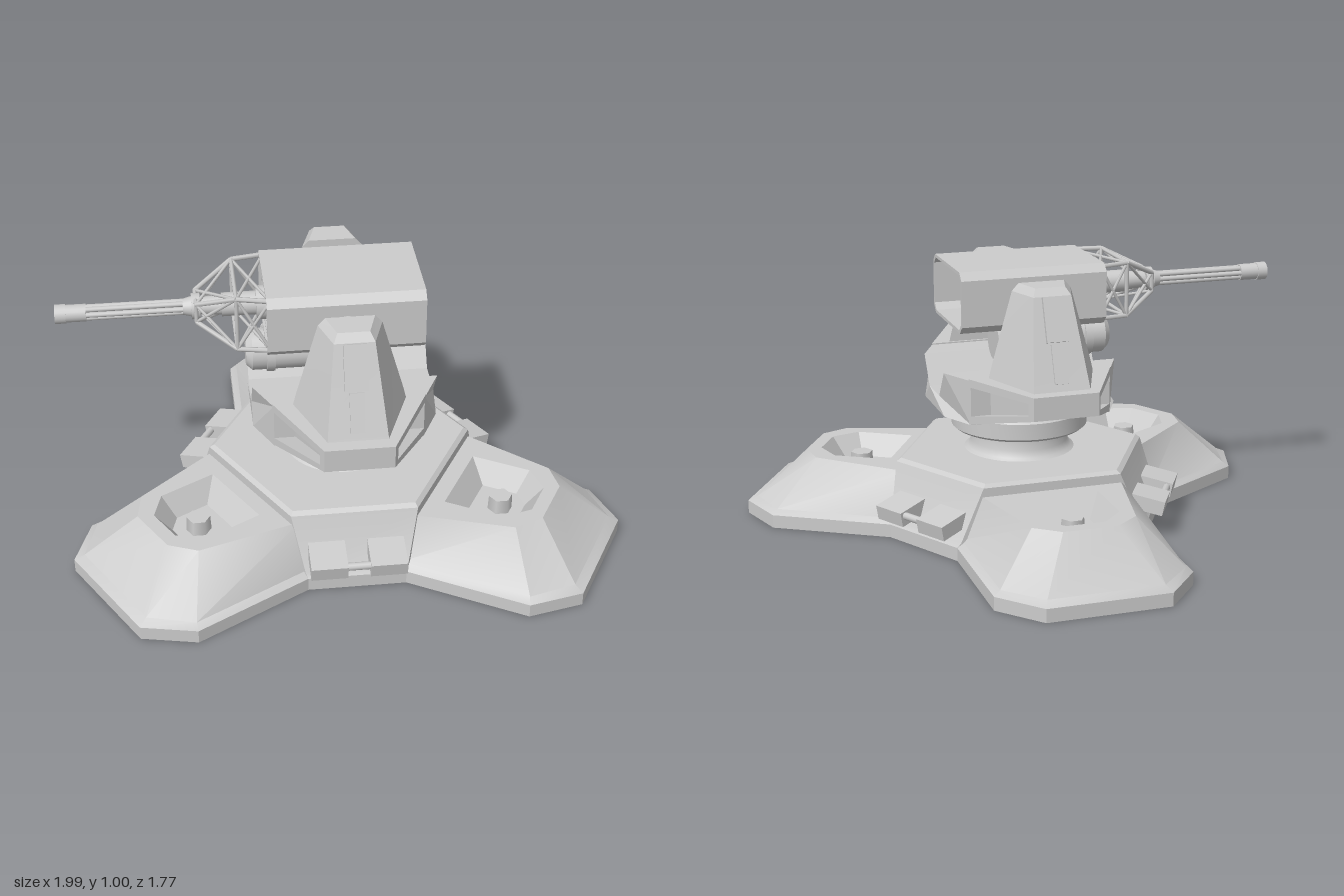
import * as THREE from 'three';
import { toCreasedNormals } from 'three/addons/utils/BufferGeometryUtils.js';

const grey = new THREE.MeshStandardMaterial({ color: 0xcccccc });
const thin = new THREE.MeshStandardMaterial({ color: 0xcccccc, side: THREE.DoubleSide });

function add(parent, name, geo, x = 0, y = 0, z = 0, mat = grey) {
  const m = new THREE.Mesh(geo, mat);
  m.name = name;
  m.position.set(x, y, z);
  parent.add(m);
  return m;
}

// Closed loft through rings {y, p: [[x, -z], ...]} listed counter-clockwise from above
function loft(rings, crease = 0.45) {
  const n = rings[0].p.length, pos = [], idx = [];
  for (const { y, p } of rings) for (const [x, v] of p) pos.push(x, y, -v);
  for (let i = 0; i < rings.length - 1; i++)
    for (let j = 0; j < n; j++) {
      const a = i * n + j, b = i * n + (j + 1) % n;
      idx.push(a, b, b + n, a, b + n, a + n);
    }
  for (const top of [false, true]) {
    const start = top ? (rings.length - 1) * n : 0, c = pos.length / 3;
    const ring = rings[top ? rings.length - 1 : 0];
    pos.push(ring.p.reduce((s, q) => s + q[0] / n, 0), ring.y, -ring.p.reduce((s, q) => s + q[1] / n, 0));
    for (let j = 0; j < n; j++) {
      const a = start + j, b = start + (j + 1) % n;
      idx.push(c, top ? a : b, top ? b : a);
    }
  }
  const g = new THREE.BufferGeometry();
  g.setAttribute('position', new THREE.Float32BufferAttribute(pos, 3));
  g.setIndex(idx);
  return toCreasedNormals(g, crease);
}

// Symmetric ring from its lower half
const mirrored = (half) => [...half, ...half.slice().reverse().map(([r, v]) => [r, -v])];

// Cylinder lying along x between two x positions
function rodX(parent, name, x0, x1, r, y, z, r0 = r, seg = 20) {
  const g = new THREE.CylinderGeometry(r, r0, x1 - x0, seg);
  g.rotateZ(-Math.PI / 2);
  return add(parent, name, g, (x0 + x1) / 2, y, z);
}

// Thin bar between two points
function bar(parent, name, a, b, r) {
  const A = new THREE.Vector3(...a), B = new THREE.Vector3(...b), d = B.clone().sub(A);
  const m = add(parent, name, new THREE.CylinderGeometry(r, r, d.length(), 6));
  m.position.copy(A).add(B).multiplyScalar(0.5);
  m.quaternion.setFromUnitVectors(new THREE.Vector3(0, 1, 0), d.normalize());
}

// Side profile [z, y] widened in x to follow the hexagonal turntable plan
function deck(points, k = 1) {
  const g = new THREE.ExtrudeGeometry(new THREE.Shape(points.map((p) => new THREE.Vector2(...p))), { depth: 2, bevelEnabled: false });
  const p = g.attributes.position;
  for (let i = 0; i < p.count; i++) {
    const s = p.getX(i), half = 0.33 - 0.21 * Math.max(0, Math.abs(s) - 0.14) / 0.42;
    p.setXYZ(i, (1 - p.getZ(i)) * half * k, p.getY(i), s);
  }
  g.computeVertexNormals();
  return g;
}

function octagon(w, h, c, Type) {
  const pts = [[w - c, -h], [w, c - h], [w, h - c], [w - c, h], [c - w, h], [-w, h - c], [-w, c - h], [c - w, -h]];
  return new Type(pts.map((p) => new THREE.Vector2(...p)));
}

function makeBase(root) {
  const base = new THREE.Group();
  base.name = 'base';
  root.add(base);
  const angles = [-Math.PI / 6, Math.PI / 2, Math.PI * 7 / 6];
  const outline = mirrored([[0.38, -0.36], [0.87, -0.36], [1.02, -0.225]]);
  const foot = loft([
    { y: 0, p: outline }, { y: 0.05, p: outline },
    { y: 0.067, p: mirrored([[0.38, -0.335], [0.86, -0.335], [0.985, -0.21]]) },
    { y: 0.232, p: mirrored([[0.38, -0.27], [0.75, -0.19], [0.82, -0.1]]) },
    { y: 0.232, p: mirrored([[0.47, -0.15], [0.69, -0.15], [0.77, -0.07]]) },
    { y: 0.15, p: mirrored([[0.53, -0.1], [0.66, -0.1], [0.71, -0.05]]) },
  ]);
  for (const a of angles) {
    const leg = new THREE.Group();
    leg.name = 'foot';
    leg.rotation.y = a;
    base.add(leg);
    add(leg, 'footPad', foot);
    add(leg, 'anchorBolt', new THREE.CylinderGeometry(0.042, 0.045, 0.06, 6), 0.63, 0.175, 0);
    // Hinge in the notch beside each foot
    const hinge = new THREE.Group();
    hinge.name = 'hinge';
    hinge.rotation.y = a + Math.PI / 3;
    base.add(hinge);
    for (const s of [-1, 1]) {
      const block = add(hinge, 'hingeBlock', new THREE.BoxGeometry(0.13, 0.055, 0.13), 0.52, 0.132, s * 0.105);
      block.rotation.z = -0.2;
    }
    add(hinge, 'hingePin', new THREE.CylinderGeometry(0.014, 0.014, 0.3, 10), 0.565, 0.132, 0).rotation.x = Math.PI / 2;
  }
  // Hub: hexagon with two corners per foot
  const hex = (r, v) => angles.flatMap((a) => [-v, v].map((w) =>
    [r * Math.cos(a) - w * Math.sin(a), r * Math.sin(a) + w * Math.cos(a)]));
  add(base, 'hub', loft([
    { y: 0, p: hex(0.41, 0.36) }, { y: 0.05, p: hex(0.41, 0.36) }, { y: 0.067, p: hex(0.41, 0.345) },
    { y: 0.265, p: hex(0.41, 0.26) }, { y: 0.277, p: hex(0.395, 0.25) },
  ]));
  const collar = [[0, 0.27], [0.22, 0.27], [0.195, 0.285], [0.183, 0.31], [0.183, 0.36], [0.245, 0.365], [0.257, 0.375],
    [0.257, 0.435], [0.245, 0.447], [0.22, 0.447], [0.22, 0.465], [0, 0.465]].map((p) => new THREE.Vector2(...p));
  add(base, 'collar', toCreasedNormals(new THREE.LatheGeometry(collar, 40), 0.6));
}

function makeTurntable(root) {
  const table = new THREE.Group();
  table.name = 'turntable';
  root.add(table);
  add(table, 'turntableBody', deck([[-0.27, 0.46], [-0.14, 0.46], [0.14, 0.46], [0.27, 0.46], [0.27, 0.625],
    [0.14, 0.625], [0.07, 0.52], [-0.07, 0.52], [-0.14, 0.625], [-0.27, 0.625]]));
  const tower = (y, xo, so, xi) => ({ y, p: [[-xo, -so], [xo, -so], [xi, -0.27], [-xi, -0.27]] });
  for (const turn of [0, Math.PI]) {
    const side = new THREE.Group();
    side.name = 'sideArm';
    side.rotation.y = turn;
    table.add(side);
    // Hollow-sided wing: top plate, sloping floor, end wall and inset core
    add(side, 'wingPlate', deck([[0.26, 0.6], [0.56, 0.605], [0.56, 0.63], [0.26, 0.63]]));
    add(side, 'wingFloor', deck([[0.26, 0.46], [0.56, 0.545], [0.56, 0.565], [0.26, 0.49]]));
    add(side, 'wingEnd', deck([[0.535, 0.54], [0.56, 0.547], [0.56, 0.62], [0.535, 0.62]]));
    add(side, 'wingCore', deck([[0.26, 0.48], [0.55, 0.56], [0.55, 0.61], [0.26, 0.61]], 0.72));
    add(side, 'tower', loft([tower(0.62, 0.105, 0.515, 0.2), tower(0.67, 0.1, 0.495, 0.188),
      tower(0.945, 0.07, 0.395, 0.11), tower(0.972, 0.055, 0.37, 0.085)], 0.2));
    // Panels lying on the sloping outer face
    const tilt = -Math.atan2(0.1, 0.275);
    add(side, 'towerPanel', new THREE.BoxGeometry(0.08, 0.16, 0.025), 0, 0.868, 0.424).rotation.x = tilt;
    add(side, 'towerStrip', new THREE.BoxGeometry(0.05, 0.14, 0.012), 0, 0.72, 0.478).rotation.x = tilt;
    // Pivot and its support strut
    for (const [r, l, z] of [[0.04, 0.12, 0.235], [0.052, 0.03, 0.252]])
      add(side, 'pivot', new THREE.CylinderGeometry(r, r, l, 20), 0, 0.89, z).rotation.x = Math.PI / 2;
    add(side, 'strut', new THREE.BoxGeometry(0.1, 0.27, 0.03), 0, 0.75, 0.224).rotation.x = 0.07;
  }
}

function makeGun(root) {
  const gun = new THREE.Group();
  gun.name = 'gun';
  gun.position.y = 0.888;
  root.add(gun);
  // Open-ended armoured sleeve
  const shell = octagon(0.197, 0.113, 0.028, THREE.Shape);
  shell.holes.push(octagon(0.185, 0.101, 0.024, THREE.Path));
  const sleeve = new THREE.ExtrudeGeometry(shell, { depth: 0.55, bevelEnabled: false });
  sleeve.rotateY(Math.PI / 2);
  add(gun, 'sleeve', sleeve, -0.275, 0, 0);
  // Receiver and cross shaft inside the sleeve
  rodX(gun, 'receiver', -0.3, 0.1, 0.06, 0, 0);
  rodX(gun, 'receiverBand', -0.2, -0.05, 0.078, 0, 0);
  rodX(gun, 'breech', 0.1, 0.17, 0.03, 0, 0, 0.055);
  add(gun, 'crossShaft', new THREE.CylinderGeometry(0.028, 0.028, 0.38, 16)).rotation.x = Math.PI / 2;
  // Truss cage tapering to the barrel bearing
  const stations = [[-0.26, 0.098, 0.165], [-0.375, 0.1, 0.14], [-0.51, 0.035, 0.05]];
  const corner = (i, j) => {
    const [x, h, w] = stations[i];
    return [x, [1, 1, -1, -1][j % 4] * h, [1, -1, -1, 1][j % 4] * w];
  };
  for (let j = 0; j < 4; j++) {
    for (let i = 0; i < 3; i++) bar(gun, 'cageFrame', corner(i, j), corner(i, j + 1), 0.008);
    for (let i = 0; i < 2; i++) {
      bar(gun, 'cageRail', corner(i, j), corner(i + 1, j), 0.009);
      bar(gun, 'cageBrace', corner(i, j), corner(i + 1, j + 1), 0.006);
      bar(gun, 'cageBrace', corner(i, j + 1), corner(i + 1, j), 0.006);
    }
    bar(gun, 'cageSpoke', corner(0, j), [-0.26, 0, 0], 0.008);
  }
  // Rotary barrels
  rodX(gun, 'barrelHousing', -0.42, -0.28, 0.042, 0, 0);
  rodX(gun, 'barrelRotor', -0.5, -0.42, 0.036, 0, 0, 0.03);
  rodX(gun, 'bearing', -0.525, -0.495, 0.046, 0, 0);
  rodX(gun, 'rotorCap', -0.555, -0.525, 0.036, 0, 0, 0.028);
  for (let i = 0; i < 6; i++) {
    const a = i * Math.PI / 3;
    rodX(gun, 'barrel', -0.995, -0.5, 0.0095, 0.019 * Math.sin(a), 0.019 * Math.cos(a), 0.0095, 10);
  }
  rodX(gun, 'muzzleClamp', -0.985, -0.89, 0.031, 0, 0);
  rodX(gun, 'muzzleRing', -0.998, -0.96, 0.034, 0, 0);
  // Ammunition drum slung underneath, with its curved feed chute
  rodX(gun, 'ammoDrum', -0.32, 0.1, 0.075, -0.192, 0);
  rodX(gun, 'drumCap', -0.342, -0.32, 0.075, -0.192, 0, 0.055);
  rodX(gun, 'drumBand', -0.27, -0.24, 0.083, -0.192, 0);
  const chute = new THREE.CatmullRomCurve3([[-0.1, -0.22, -0.06], [-0.1, -0.18, -0.105], [-0.1, -0.12, -0.09], [-0.1, -0.03, -0.05]]
    .map((p) => new THREE.Vector3(...p)));
  const chuteGeo = new THREE.TubeGeometry(chute, 16, 0.02, 8);
  chuteGeo.scale(2.2, 1, 1);
  add(gun, 'feedChute', chuteGeo, 0.08, 0, 0, thin);
  add(gun, 'drumHanger', new THREE.BoxGeometry(0.22, 0.12, 0.06), -0.08, -0.09, 0);
}

export function createModel() {
  const model = new THREE.Group();
  model.name = 'gunTurret';
  const root = new THREE.Group();
  root.name = 'turretAssembly';
  root.position.z = 0.13;
  model.add(root);
  makeBase(root);
  makeTurntable(root);
  makeGun(root);
  return model;
}
